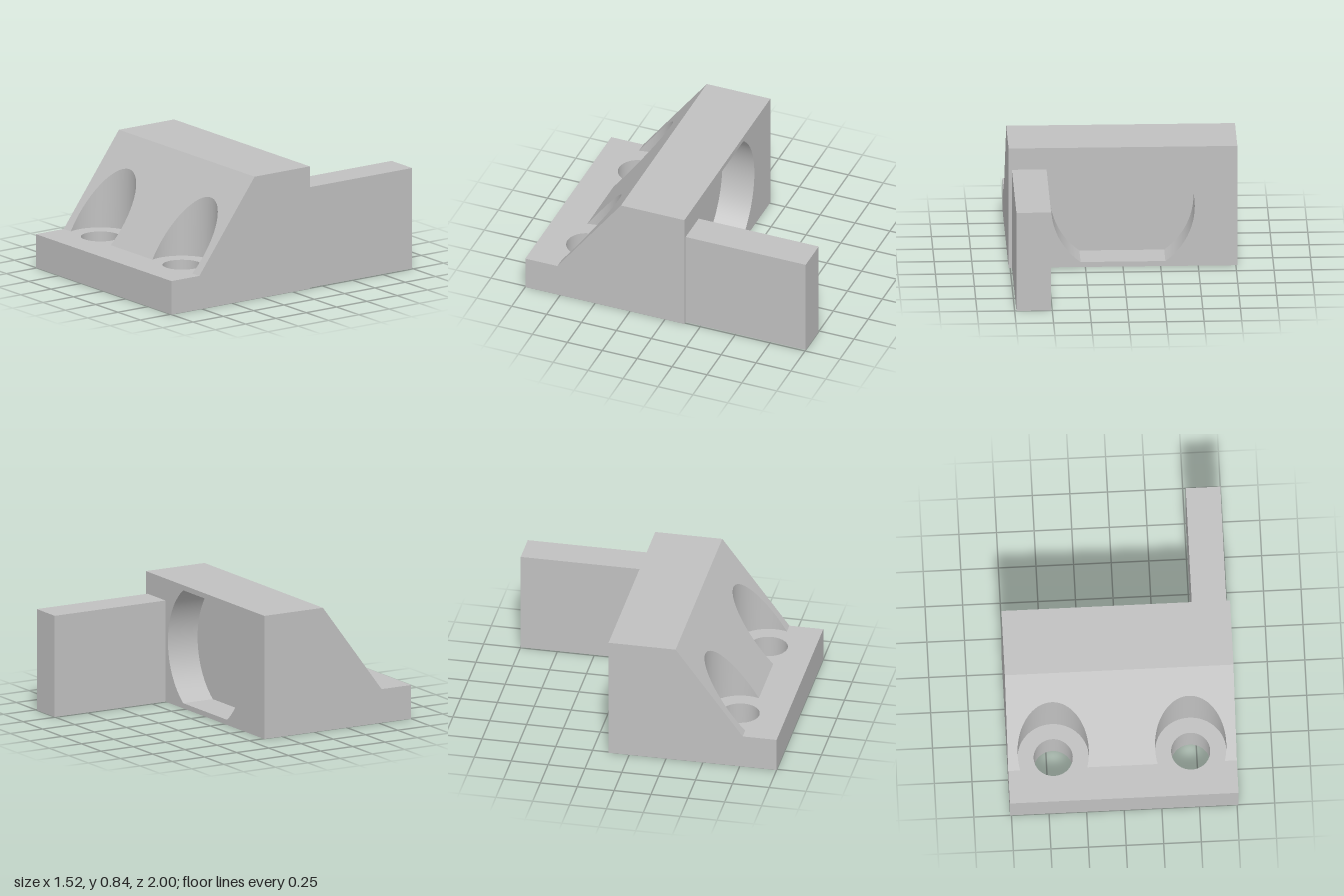
import * as THREE from 'three';
import { mergeGeometries, toCreasedNormals } from 'three/addons/utils/BufferGeometryUtils.js';

// Main sizes; plan outlines are written as (x, -z)
const W = 0.76, H = 0.84, LEDGE = 0.23, BACK = -0.14, FRONT = 1;
const SLOPE_TOP_Z = 0.315, SLOPE_END_Z = 0.77;
const K = (H - LEDGE) / (SLOPE_END_Z - SLOPE_TOP_Z);
const BOLT_X = 0.457, BOLT_Z = 0.69, BORE_R = 0.13, SEAT_R = 0.237;
const RECESS_R = 0.477, RECESS_HALF = 0.385, RECESS_Z = 0.09;

const V3 = (x, y, z) => new THREE.Vector3(x, y, z);
const V2 = (x, y) => new THREE.Vector2(x, y);
const slopeY = (v) => LEDGE + (SLOPE_END_Z + v) * K;

function arc(cx, cy, r, a0, a1, n) {
  return Array.from({ length: n + 1 }, (_, i) => {
    const a = a0 + ((a1 - a0) * i) / n;
    return V2(cx + r * Math.cos(a), cy + r * Math.sin(a));
  });
}

// Flat face: outline with holes, laid on the plane through origin along u and v
function face(points, origin, u, v, holes = []) {
  const shape = new THREE.Shape(points);
  holes.forEach((h) => shape.holes.push(new THREE.Path(h)));
  const basis = new THREE.Matrix4().makeBasis(u, v, u.clone().cross(v)).setPosition(origin);
  return new THREE.ShapeGeometry(shape).applyMatrix4(basis);
}

// Inward-facing wall along a clockwise path, between two placed edges
function wall(points, hi, lo) {
  const n = points.length;
  const g = new THREE.PlaneGeometry(1, 1, n - 1, 1);
  points.forEach((p, i) => {
    const a = hi(p), b = lo(p);
    g.attributes.position.setXYZ(i, a.x, a.y, a.z);
    g.attributes.position.setXYZ(n + i, b.x, b.y, b.z);
  });
  return g;
}

function rect(x0, y0, x1, y1) {
  return [V2(x0, y0), V2(x1, y0), V2(x1, y1), V2(x0, y1)];
}

function bodyGeometry() {
  const X = V3(1, 0, 0), Y = V3(0, 1, 0), Z = V3(0, 0, 1);
  const nX = V3(-1, 0, 0), nZ = V3(0, 0, -1);
  const at = (y) => (p) => V3(p.x, y, -p.y);

  // Bolt bores and the round seats cut into the slope
  const cut = Math.asin((SLOPE_END_Z - BOLT_Z) / SEAT_R);
  const seat = (x) => arc(x, -BOLT_Z, SEAT_R, -cut, Math.PI + cut, 48);
  const bore = (x) => arc(x, -BOLT_Z, BORE_R, Math.PI * 2, 0, 48);
  const bores = [bore(BOLT_X), bore(-BOLT_X)];
  const seats = [seat(BOLT_X), seat(-BOLT_X)];

  // Round recess with flat top and bottom, centred on the back
  const a = Math.asin(RECESS_HALF / RECESS_R);
  const recess = [
    ...arc(0, H / 2, RECESS_R, a, -a, 24),
    ...arc(0, H / 2, RECESS_R, Math.PI + a, Math.PI - a, 24),
  ];
  const onBack = (z) => (p) => V3(-p.x, p.y, z);

  const profile = (s) => [
    V2(s * BACK, 0), V2(s * FRONT, 0), V2(s * FRONT, LEDGE),
    V2(s * SLOPE_END_Z, LEDGE), V2(s * SLOPE_TOP_Z, H), V2(s * BACK, H),
  ];

  const parts = [
    // sides
    face(profile(-1), V3(W, 0, 0), nZ, Y),
    face(profile(1), V3(-W, 0, 0), Z, Y),
    // underside, front and top
    face(rect(-W, -FRONT, W, -BACK), V3(0, 0, 0), nX, nZ, bores),
    face(rect(-W, 0, W, LEDGE), V3(0, 0, FRONT), X, Y),
    face(rect(-W, -SLOPE_TOP_Z, W, -BACK), V3(0, H, 0), X, nZ),
    // ledge with the seat floors
    face([V2(-W, -FRONT), V2(W, -FRONT), V2(W, -SLOPE_END_Z), ...seats[0], ...seats[1],
      V2(-W, -SLOPE_END_Z)], V3(0, LEDGE, 0), X, nZ, bores),
    // slope with notches
    face([V2(W, -SLOPE_TOP_Z), V2(-W, -SLOPE_TOP_Z), V2(-W, -SLOPE_END_Z),
      ...[...seats[1]].reverse(), ...[...seats[0]].reverse(), V2(W, -SLOPE_END_Z)],
    V3(0, slopeY(0), 0), X, V3(0, K, -1)),
    // back and recess
    face(rect(-W, 0, W, H), V3(0, 0, BACK), nX, Y, [recess]),
    face(recess, V3(0, 0, RECESS_Z), nX, Y),
    wall([...recess, recess[0]], onBack(BACK), onBack(RECESS_Z)),
    // bore and seat walls
    ...bores.map((b) => wall(b, at(LEDGE), at(0))),
    ...seats.map((s) => wall([...s].reverse(), (p) => V3(p.x, slopeY(p.y), -p.y), at(LEDGE))),
  ].map((g) => {
    const flat = g.toNonIndexed();
    flat.deleteAttribute('uv');
    return flat;
  });
  return toCreasedNormals(mergeGeometries(parts), Math.PI / 6);
}

export function createModel() {
  const grey = new THREE.MeshStandardMaterial({ color: 0xc0c0c0 });
  grey.name = 'light grey';
  const model = new THREE.Group();
  model.name = 'mountingBracket';

  const body = new THREE.Mesh(bodyGeometry(), grey);
  body.name = 'bracketBody';

  // Arm reaching backwards from the left side
  const arm = new THREE.Mesh(new THREE.BoxGeometry(0.23, 0.69, 1 + BACK), grey);
  arm.name = 'rearArm';
  arm.position.set(0.623, 0.345, (BACK - 1) / 2);

  model.add(body, arm);
  return model;
}
